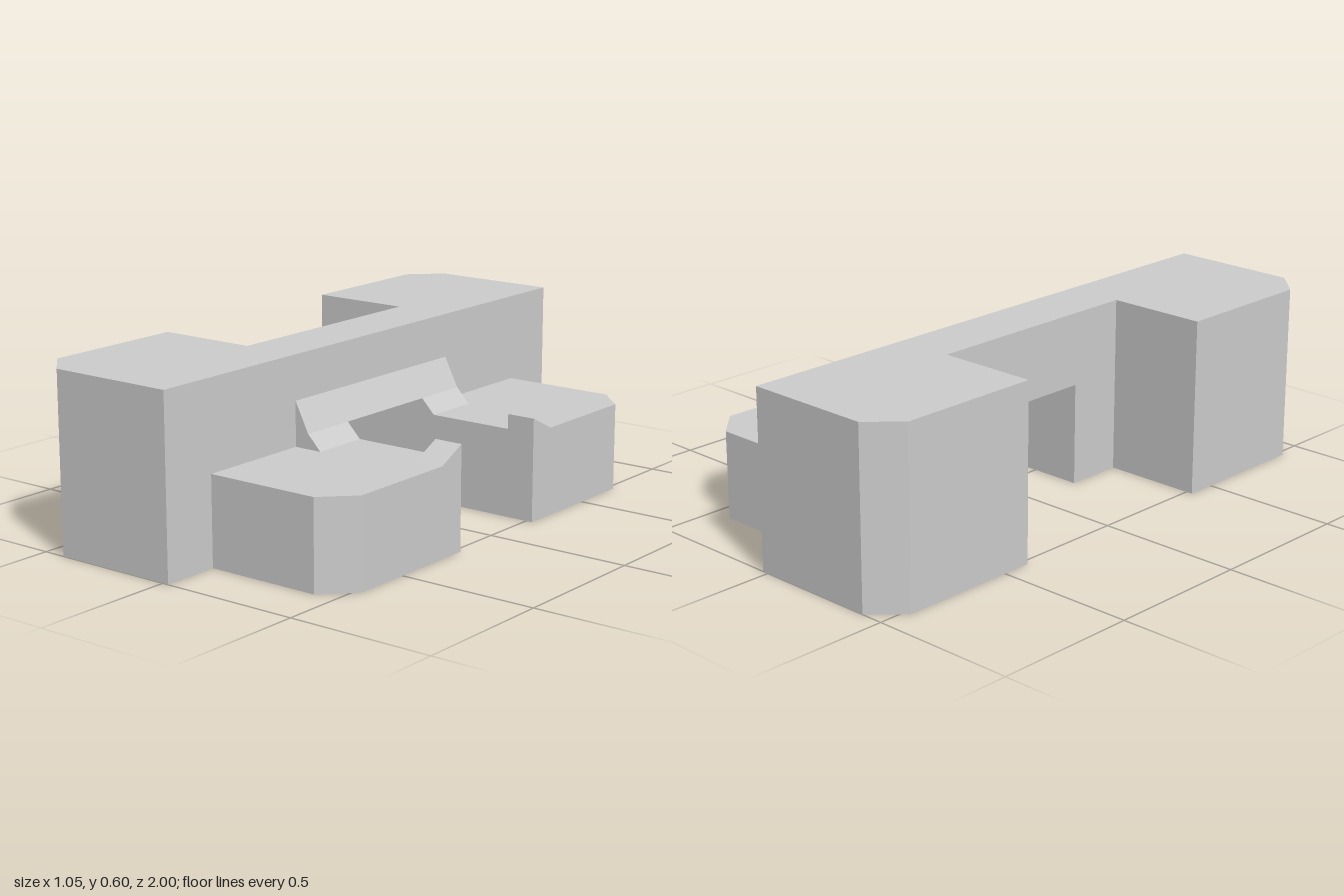
import * as THREE from 'three';
import { mergeGeometries } from 'three/addons/utils/BufferGeometryUtils.js';

const material = new THREE.MeshStandardMaterial({ color: 0xcccccc, side: THREE.DoubleSide, flatShading: true });

// Key lines of the plan and the heights
const BACK = -0.523, SPINE = -0.177, FACE = 0.022, LIP = 0.073, SILL = 0.122, CUT = 0.423, FRONT = 0.523;
const TALL = 0.6, LOW = 0.3, ARCH = 0.35, HOOD = 0.45;

function mesh(name, ...geometries) {
  const m = new THREE.Mesh(mergeGeometries(geometries), material);
  m.name = name;
  return m;
}

// Convex flat face, corners [x, y, z] counter-clockwise seen from outside
function face(...corners) {
  const p = [];
  for (let i = 1; i < corners.length - 1; i++) p.push(...corners[0], ...corners[i], ...corners[i + 1]);
  const g = new THREE.BufferGeometry();
  g.setAttribute('position', new THREE.Float32BufferAttribute(p, 3));
  g.computeVertexNormals();
  return g;
}

// Upright walls along a plan path of [x, z]
function walls(path, y0, y1) {
  return mergeGeometries(path.slice(1).map(([bx, bz], i) => {
    const [ax, az] = path[i];
    return face([ax, y0, az], [bx, y0, bz], [bx, y1, bz], [ax, y1, az]);
  }));
}

// Flat outline as a filled sheet
function sheet(points) {
  const g = new THREE.ShapeGeometry(new THREE.Shape(points.map(([a, b]) => new THREE.Vector2(a, b)))).toNonIndexed();
  g.deleteAttribute('uv');
  return g;
}

const roof = (plan, y) => sheet(plan.map(([x, z]) => [x, -z])).rotateX(-Math.PI / 2).translate(0, y, 0);

// One half of the building, on the +z side
function createWing() {
  const wing = new THREE.Group();

  // Tall block with a chamfered outer corner, open below
  const tall = [[SPINE, 0.2], [SPINE, 0.4], [BACK, 0.4], [BACK, 0.9], [-0.423, 1], [FACE, 1], [FACE, 0.8]];
  wing.add(mesh('tallWalls',
    walls(tall, 0, TALL),
    walls([[FACE, 0.8], [FACE, 0.4]], LOW, TALL)));
  wing.add(mesh('tallRoof', roof([[FACE, 0.4], ...tall.slice(1, 6)], TALL)));

  // Low block
  wing.add(mesh('lowWalls', walls([[FACE, 0.8], [CUT, 0.8], [FRONT, 0.7], [FRONT, 0.2]], 0, LOW)));
  wing.add(mesh('lowRoof', roof([[FACE, 0.8], [CUT, 0.8], [FRONT, 0.7], [FRONT, 0.3], [CUT, 0.3],
    [CUT, 0.2], [SILL, 0.2], [SILL, 0.4], [FACE, 0.4]], LOW)));

  // Side wall of the passage, following the hood and the wedge
  const side = [[SPINE, 0], [FRONT, 0], [FRONT, ARCH], [CUT, ARCH], [CUT, LOW], [SILL, LOW], [LIP, ARCH], [SPINE, ARCH]];
  wing.add(mesh('passageWall', sheet(side.map(([x, y]) => [-x, y])).rotateY(Math.PI).translate(0, 0, 0.2)));

  // Small wedge on the inner front corner
  wing.add(mesh('cornerWedge',
    face([CUT, ARCH, 0.2], [CUT, LOW, 0.3], [FRONT, LOW, 0.3], [FRONT, ARCH, 0.2]),
    face([CUT, LOW, 0.2], [CUT, LOW, 0.3], [CUT, ARCH, 0.2]),
    face([FRONT, LOW, 0.3], [FRONT, LOW, 0.2], [FRONT, ARCH, 0.2])));

  // Lower slope and closed end of the hood
  wing.add(mesh('hoodEnd',
    face([LIP, ARCH, 0.2], [LIP, ARCH, 0.4], [SILL, LOW, 0.4], [SILL, LOW, 0.2]),
    sheet([[FACE, LOW], [SILL, LOW], [LIP, ARCH], [FACE, HOOD]]).translate(0, 0, 0.4)));
  return wing;
}

export function createModel() {
  const model = new THREE.Group();
  model.name = 'building';

  // Mirrored wings
  for (const s of [1, -1]) {
    const wing = createWing();
    wing.name = s > 0 ? 'frontWing' : 'backWing';
    wing.scale.z = s;
    model.add(wing);
  }

  // Spine joining the wings above the passage
  model.add(mesh('spine',
    roof([[SPINE, -0.4], [SPINE, 0.4], [FACE, 0.4], [FACE, -0.4]], TALL),
    walls([[SPINE, -0.2], [SPINE, 0.2]], ARCH, TALL),
    walls([[FACE, 0.4], [FACE, -0.4]], HOOD, TALL)));

  // Underside of the passage
  model.add(mesh('passageCeiling',
    face([SPINE, ARCH, -0.2], [LIP, ARCH, -0.2], [LIP, ARCH, 0.2], [SPINE, ARCH, 0.2])));

  // Sloping hood along the face
  model.add(mesh('hood',
    face([FACE, HOOD, -0.4], [FACE, HOOD, 0.4], [LIP, ARCH, 0.4], [LIP, ARCH, -0.4])));
  return model;
}
